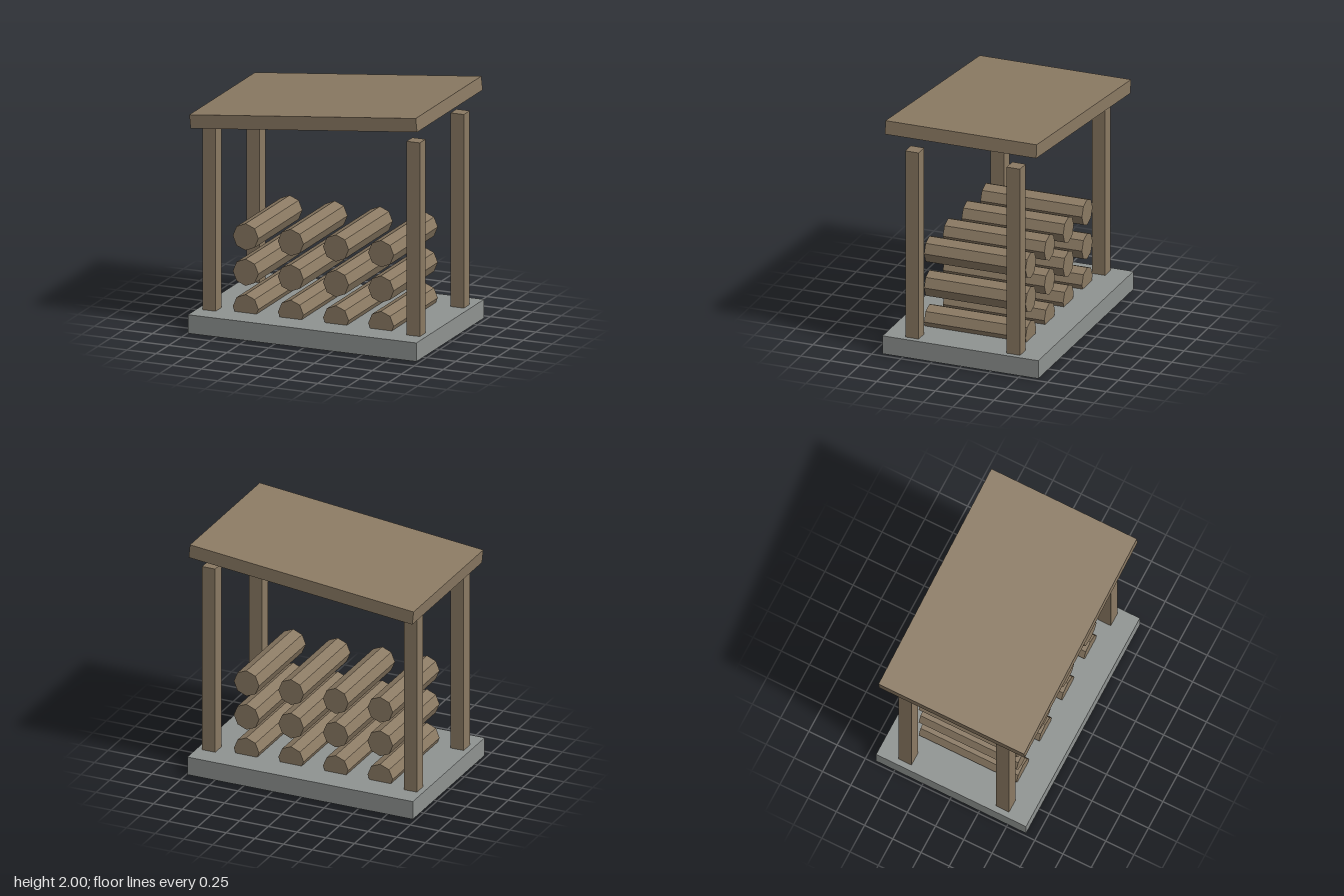
import * as THREE from 'three';

export function createModel() {
  const model = new THREE.Group();
  model.name = 'firewoodShelter';

  const wood = new THREE.MeshStandardMaterial({ color: 0x8b7a63 });
  wood.name = 'wood';
  const stone = new THREE.MeshStandardMaterial({ color: 0x8f9391 });
  stone.name = 'stone';

  const add = (name, geometry, material, x, y, z) => {
    const mesh = new THREE.Mesh(geometry, material);
    mesh.name = name;
    mesh.position.set(x, y, z);
    model.add(mesh);
    return mesh;
  };

  // Slab, lifted slightly so the post feet show underneath
  add('baseSlab', new THREE.BoxGeometry(1.964, 0.153, 1.327), stone, 0, 0.0865, 0);

  // Four corner posts
  const postGeometry = new THREE.BoxGeometry(0.114, 1.753, 0.114);
  for (const [xName, sx] of [['Left', 1], ['Right', -1]]) {
    for (const [zName, sz] of [['front', 1], ['back', -1]]) {
      add(`${zName}${xName}Post`, postGeometry, wood, sx * 0.878, 0.8765, sz * 0.432);
    }
  }

  // Roof sloping down to the model's right
  const roof = add('roof', new THREE.BoxGeometry(1.957, 0.112, 1.288), wood, 0, 1.844, 0);
  roof.rotation.z = 0.102;

  // Stacked eight-sided logs; the lowest row is sunk into the slab
  const logGeometry = new THREE.CylinderGeometry(0.11, 0.11, 0.865, 8).toNonIndexed();
  logGeometry.rotateX(Math.PI / 2);
  logGeometry.computeVertexNormals();
  for (let row = 0; row < 3; row++) {
    for (let column = 0; column < 4; column++) {
      add(`logRow${row + 1}Column${column + 1}`, logGeometry, wood,
        -0.588 + column * 0.388, 0.203 + row * 0.291, 0);
    }
  }

  return model;
}
